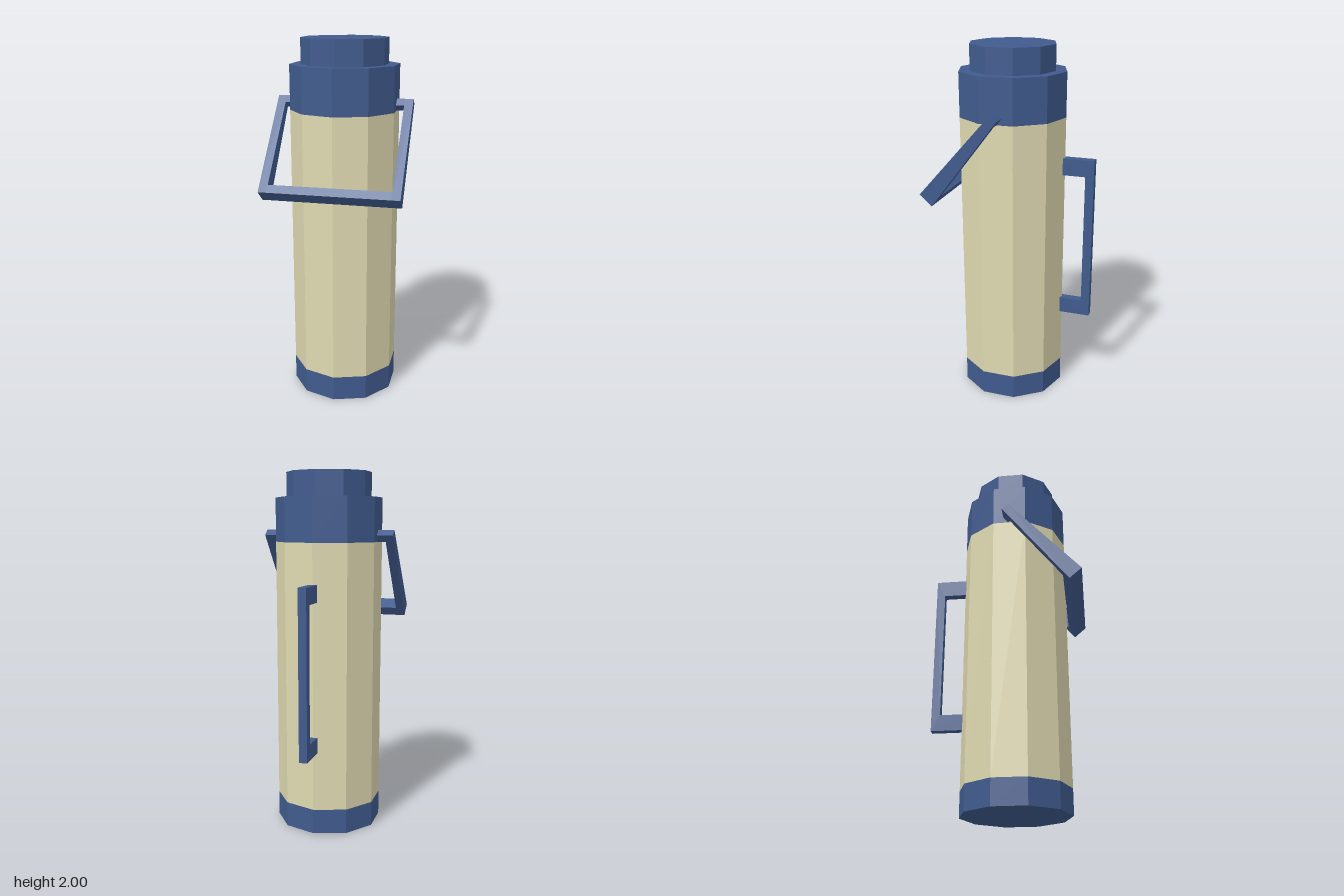
import * as THREE from 'three';

export function createModel() {
  const group = new THREE.Group();
  const blue = new THREE.MeshStandardMaterial({ color: 0x405b8e });
  blue.name = 'navy blue';
  const cream = new THREE.MeshStandardMaterial({ color: 0xded8b0 });
  cream.name = 'cream';

  const axisZ = 0.031; // the flask axis sits slightly forward

  function add(name, geometry, material, parent = group) {
    const mesh = new THREE.Mesh(geometry, material);
    mesh.name = name;
    parent.add(mesh);
    return mesh;
  }

  // Faceted ten-sided section between two heights
  function section(name, radius, y0, y1, material, open = false) {
    const indexed = new THREE.CylinderGeometry(radius, radius, y1 - y0, 10, 1, open);
    const geometry = indexed.toNonIndexed();
    geometry.computeVertexNormals();
    add(name, geometry, material).position.set(0, (y0 + y1) / 2, axisZ);
  }

  section('base', 0.298, 0, 0.14, blue);
  section('body', 0.298, 0.14, 1.62, cream, true);
  section('collar', 0.298, 1.62, 1.862, blue);
  section('lid', 0.237, 1.862, 2, blue);

  // Prism along x from a profile of [z, y] points
  function prism(profile, x0, x1) {
    const shape = new THREE.Shape(profile.map(([z, y]) => new THREE.Vector2(z, y)));
    const geometry = new THREE.ExtrudeGeometry(shape, { depth: x1 - x0, bevelEnabled: false });
    return geometry.rotateY(-Math.PI / 2).translate(x1, 0, 0);
  }

  // Back grip: a squared C against the body
  const grip = [
    [-0.24, 1.4], [-0.434, 1.4], [-0.434, 0.47], [-0.24, 0.47],
    [-0.24, 0.56], [-0.386, 0.56], [-0.386, 1.306], [-0.24, 1.306],
  ];
  add('backHandle', prism(grip, -0.023, 0.023), blue);

  // Tilted carrying handle, its arms thickening toward the crossbar
  const bail = new THREE.Group();
  bail.name = 'carryHandle';
  group.add(bail);
  const topBack = [-0.003, 1.656], topFront = [0.033, 1.685];
  const endFront = [0.433, 1.235], endBack = [0.365, 1.176];
  const arm = [topBack, topFront, endFront, endBack];
  const pivot = [topBack, topFront, [0.062, 1.652], [0.024, 1.621]];
  const bar = [[0.33, 1.222], [0.402, 1.27], endFront, endBack];
  for (const [side, sign] of [['left', 1], ['right', -1]]) {
    const span = (a, b) => (sign > 0 ? [a, b] : [-b, -a]);
    add(side + 'Arm', prism(arm, ...span(0.327, 0.373)), blue, bail);
    add(side + 'Pivot', prism(pivot, ...span(0.27, 0.327)), blue, bail);
  }
  add('crossbar', prism(bar, -0.327, 0.327), blue, bail);

  return group;
}
